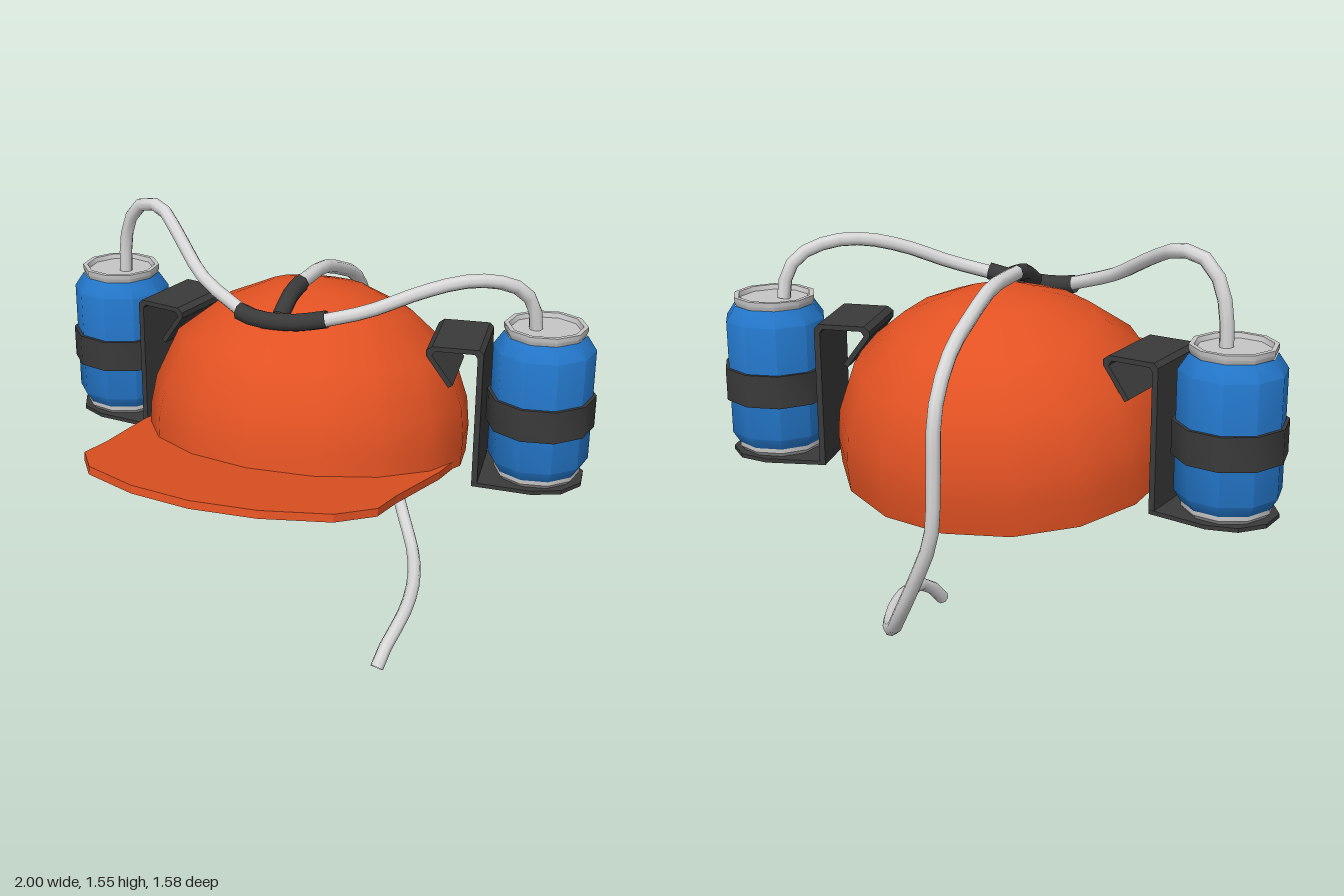
import * as THREE from 'three';
import { toCreasedNormals } from 'three/addons/utils/BufferGeometryUtils.js';

const mat = (name, color, side = THREE.FrontSide) => {
  const m = new THREE.MeshStandardMaterial({ color, side });
  m.name = name;
  return m;
};

const v2 = (list) => list.map(([x, y]) => new THREE.Vector2(x, y));

export function createModel() {
  const orange = mat('orange shell', 0xe25223);
  const blue = mat('blue can', 0x2478cc);
  const silver = mat('silver metal', 0xc6c6c6);
  const black = mat('black plastic', 0x3a3a3a, THREE.DoubleSide);
  const clear = mat('pale tube', 0xd8d8d8, THREE.DoubleSide);

  const model = new THREE.Group();
  model.name = 'drinkingHelmet';

  const add = (parent, name, geometry, material) => {
    const mesh = new THREE.Mesh(geometry, material);
    mesh.name = name;
    parent.add(mesh);
    return mesh;
  };
  const lathe = (profile, sides) =>
    toCreasedNormals(new THREE.LatheGeometry(v2(profile), sides), 0.7);
  const tube = (name, points, radius, material, perSpan = 2) => {
    const curve = new THREE.CatmullRomCurve3(points.map((p) => new THREE.Vector3(...p)));
    const spans = (points.length - 1) * perSpan;
    return add(model, name, new THREE.TubeGeometry(curve, spans, radius, 8), material);
  };

  // Helmet, tilted so the brim rises at the front
  const helmet = new THREE.Group();
  helmet.name = 'helmet';
  helmet.position.set(0, 0.747, -0.17);
  helmet.rotation.x = -0.168;
  model.add(helmet);

  const dome = add(helmet, 'dome', lathe([
    [0, 0.002], [0.545, 0.002], [0.546, 0.1], [0.532, 0.2], [0.465, 0.375],
    [0.32, 0.5], [0.16, 0.575], [0, 0.598],
  ], 16), orange);
  dome.scale.x = 1.06;

  // Brim outline, one half mirrored to the other
  const half = [[0.565, 0.05], [0.565, 0.2], [0.53, 0.54], [0.525, 0.7], [0.43, 0.835], [0.22, 0.935]];
  const outline = [
    ...half, [0, 0.97],
    ...half.slice().reverse().map(([x, f]) => [-x, f]),
  ].map(([x, f]) => [x, -f]);
  const brim = new THREE.ExtrudeGeometry(new THREE.Shape(v2(outline)), { depth: 0.027, bevelEnabled: false });
  brim.rotateX(-Math.PI / 2);
  add(helmet, 'brim', brim, orange);

  // Cans with their holders, one on each side
  const hook = new THREE.Shape(v2([
    [-0.19, 0.7], [-0.19, 1.19], [-0.205, 1.205], [-0.365, 1.205], [-0.385, 1.19],
    [-0.385, 1.17], [-0.305, 1.06], [-0.29, 1.07], [-0.365, 1.172], [-0.355, 1.188],
    [-0.22, 1.188], [-0.21, 1.175], [-0.21, 0.7],
  ]));
  const base = new THREE.Shape(v2([
    [-0.21, -0.14], [0, -0.16], [0.1, -0.13], [0.16, -0.05],
    [0.16, 0.05], [0.1, 0.13], [0, 0.16], [-0.21, 0.14],
  ]));

  for (const s of [1, -1]) {
    const holder = new THREE.Group();
    holder.name = s > 0 ? 'leftHolder' : 'rightHolder';
    holder.position.set(s * 0.817, 0, -0.3);
    holder.rotation.y = s > 0 ? 0.17 : Math.PI - 0.17;
    model.add(holder);

    const can = new THREE.Group();
    can.name = 'can';
    can.rotation.y = -s * 0.27;
    holder.add(can);
    add(can, 'canBody', lathe([
      [0.15, 0.745], [0.175, 0.785], [0.175, 1.185], [0.14, 1.237],
    ], 10), blue);
    add(can, 'canLid', lathe([
      [0.135, 1.232], [0.142, 1.25], [0.142, 1.266], [0.126, 1.266], [0.12, 1.25], [0, 1.25],
    ], 10), silver);
    add(can, 'canBottom', lathe([
      [0, 0.714], [0.135, 0.714], [0.15, 0.73], [0.15, 0.747],
    ], 10), silver);
    add(can, 'strap', lathe([
      [0.17, 0.905], [0.187, 0.905], [0.187, 1.02], [0.17, 1.02],
    ], 10), black);

    const hookGeo = new THREE.ExtrudeGeometry(hook, { depth: 0.28, bevelEnabled: false });
    hookGeo.translate(0, 0, -0.14);
    add(holder, 'hook', hookGeo, black);
    const baseGeo = new THREE.ExtrudeGeometry(base, { depth: 0.014, bevelEnabled: false });
    baseGeo.rotateX(-Math.PI / 2);
    baseGeo.translate(0, 0.7, 0);
    add(holder, 'holderBase', baseGeo, black);
  }

  // Feed tubes from each can to the joint above the forehead
  tube('rightFeedTube', [
    [-0.79, 1.25, -0.29], [-0.785, 1.36, -0.29], [-0.755, 1.46, -0.28], [-0.69, 1.525, -0.265],
    [-0.6, 1.525, -0.23], [-0.48, 1.465, -0.13], [-0.32, 1.37, 0], [-0.13, 1.3, 0.085],
  ], 0.024, clear);
  tube('leftFeedTube', [
    [0.785, 1.25, -0.29], [0.775, 1.34, -0.275], [0.735, 1.4, -0.24], [0.66, 1.435, -0.18],
    [0.57, 1.44, -0.115], [0.45, 1.41, -0.04], [0.3, 1.35, 0.035], [0.15, 1.31, 0.085],
  ], 0.024, clear);

  // Three-way joint
  tube('jointBar', [
    [-0.15, 1.302, 0.08], [-0.08, 1.29, 0.095], [0.06, 1.295, 0.095], [0.17, 1.318, 0.08],
  ], 0.031, black);
  tube('jointStem', [[0, 1.3, 0.08], [0, 1.35, -0.01], [0, 1.365, -0.1]], 0.03, black);

  // Drinking tube over the crown, down the back and forward
  tube('drinkingTube', [
    [0, 1.365, -0.08], [0, 1.362, -0.3], [0, 1.31, -0.46], [0, 1.23, -0.63], [0, 1.08, -0.745],
    [0, 0.86, -0.765], [0.015, 0.66, -0.762], [0.095, 0.47, -0.735], [0.165, 0.34, -0.69],
    [0.23, 0.24, -0.62], [0.3, 0.19, -0.51], [0.37, 0.167, -0.33], [0.405, 0.147, -0.15],
    [0.405, 0.115, -0.02], [0.39, 0.07, 0.04], [0.38, 0.017, 0.085],
  ], 0.025, clear);

  return model;
}
